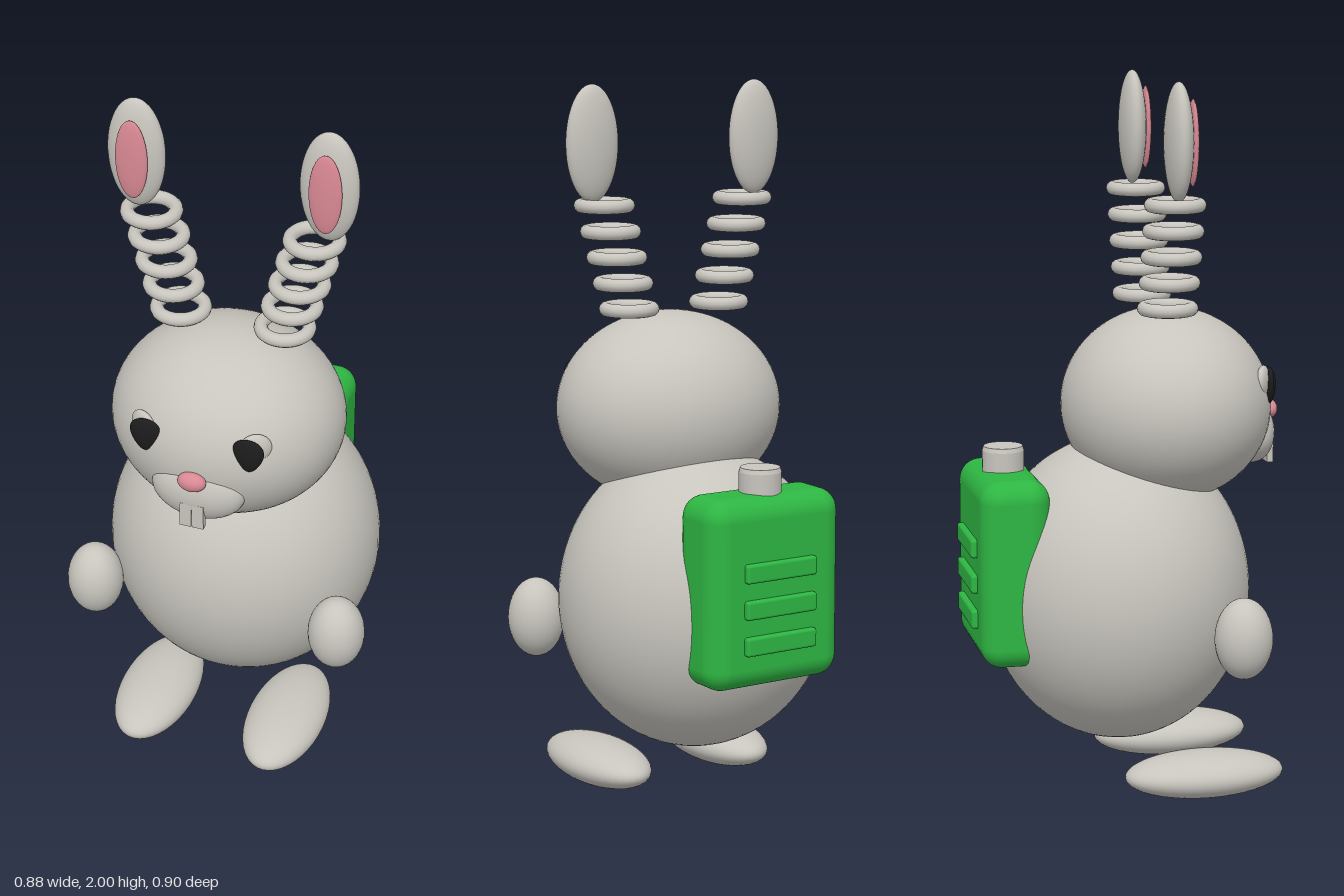
import * as THREE from 'three';
import { RoundedBoxGeometry } from 'three/addons/geometries/RoundedBoxGeometry.js';

const mat = (name, color) => {
  const m = new THREE.MeshStandardMaterial({ color });
  m.name = name;
  return m;
};

export function createModel() {
  const grey = mat('warm grey', 0xc8c5be);
  const pink = mat('pink', 0xd98994);
  const black = mat('black', 0x1c1c1c);
  const green = mat('green', 0x2eb643);

  const model = new THREE.Group();
  model.name = 'rabbit';

  const add = (name, geometry, material, position) => {
    const mesh = new THREE.Mesh(geometry, material);
    mesh.name = name;
    mesh.position.set(...position);
    model.add(mesh);
    return mesh;
  };
  const ellipsoid = (name, material, position, radii, segments = 32) =>
    add(name, new THREE.SphereGeometry(1, segments, segments * 0.75).scale(...radii), material, position);

  // Body and head
  ellipsoid('body', grey, [0, 0.57, -0.015], [0.39, 0.43, 0.373], 64);
  ellipsoid('head', grey, [0, 1.09, 0.125], [0.325, 0.272, 0.293], 64);

  // Face
  ellipsoid('muzzle', grey, [0, 1.005, 0.37], [0.132, 0.093, 0.063]);
  ellipsoid('nose', pink, [0, 1.062, 0.424], [0.04, 0.028, 0.025]);

  // Eye: an ellipsoid narrowed towards its lower end
  const eyeGeometry = new THREE.SphereGeometry(1, 32, 24);
  const p = eyeGeometry.attributes.position;
  for (let i = 0; i < p.count; i++) p.setX(i, p.getX(i) * (0.95 + 0.3 * p.getY(i)));
  eyeGeometry.scale(0.044, 0.051, 0.015);
  eyeGeometry.computeVertexNormals();

  for (const [side, s] of [['left', 1], ['right', -1]]) {
    add(side + 'Tooth', new THREE.BoxGeometry(0.033, 0.075, 0.018), grey, [s * 0.0175, 0.95, 0.422]);
    add(side + 'Eye', eyeGeometry, black, [s * 0.145, 1.155, 0.383]);
    const lid = ellipsoid(side + 'Eyelid', grey, [s * 0.157, 1.168, 0.362], [0.045, 0.045, 0.018]);
    lid.rotation.y = s * 0.5;

    // Spring of separate rings under each ear
    for (let i = 0; i < 5; i++) {
      const ring = new THREE.TorusGeometry(0.065, 0.019, 12, 40).rotateX(Math.PI / 2);
      add(side + 'EarRing' + (i + 1), ring, grey, [s * (0.148 + 0.0195 * i), 1.38 + 0.0725 * i, 0.093]);
    }
    ellipsoid(side + 'Ear', grey, [s * 0.264, 1.84, 0.092], [0.08, 0.16, 0.037]);
    ellipsoid(side + 'InnerEar', pink, [s * 0.264, 1.838, 0.131], [0.045, 0.116, 0.013]);

    // Limbs
    ellipsoid(side + 'Arm', grey, [s * 0.362, 0.497, 0.256], [0.08, 0.113, 0.08]);
    ellipsoid(side + 'Foot', grey, [s * 0.199, 0.066, 0.191], [0.113, 0.064, 0.227], 40);
  }

  // Backpack canister with cap and ridges
  add('backpack', new RoundedBoxGeometry(0.424, 0.524, 0.194, 6, 0.06), green, [0, 0.662, -0.337]);
  add('cap', new THREE.CylinderGeometry(0.054, 0.058, 0.012, 40), grey, [0, 0.984, -0.338]);
  add('capSide', new THREE.CylinderGeometry(0.058, 0.058, 0.07, 40, 1, true), grey, [0, 0.943, -0.338]);
  for (let i = 0; i < 3; i++) {
    add('ridge' + (i + 1), new RoundedBoxGeometry(0.226, 0.052, 0.03, 3, 0.008), green, [0, 0.526 + 0.1 * i, -0.436]);
  }

  return model;
}
